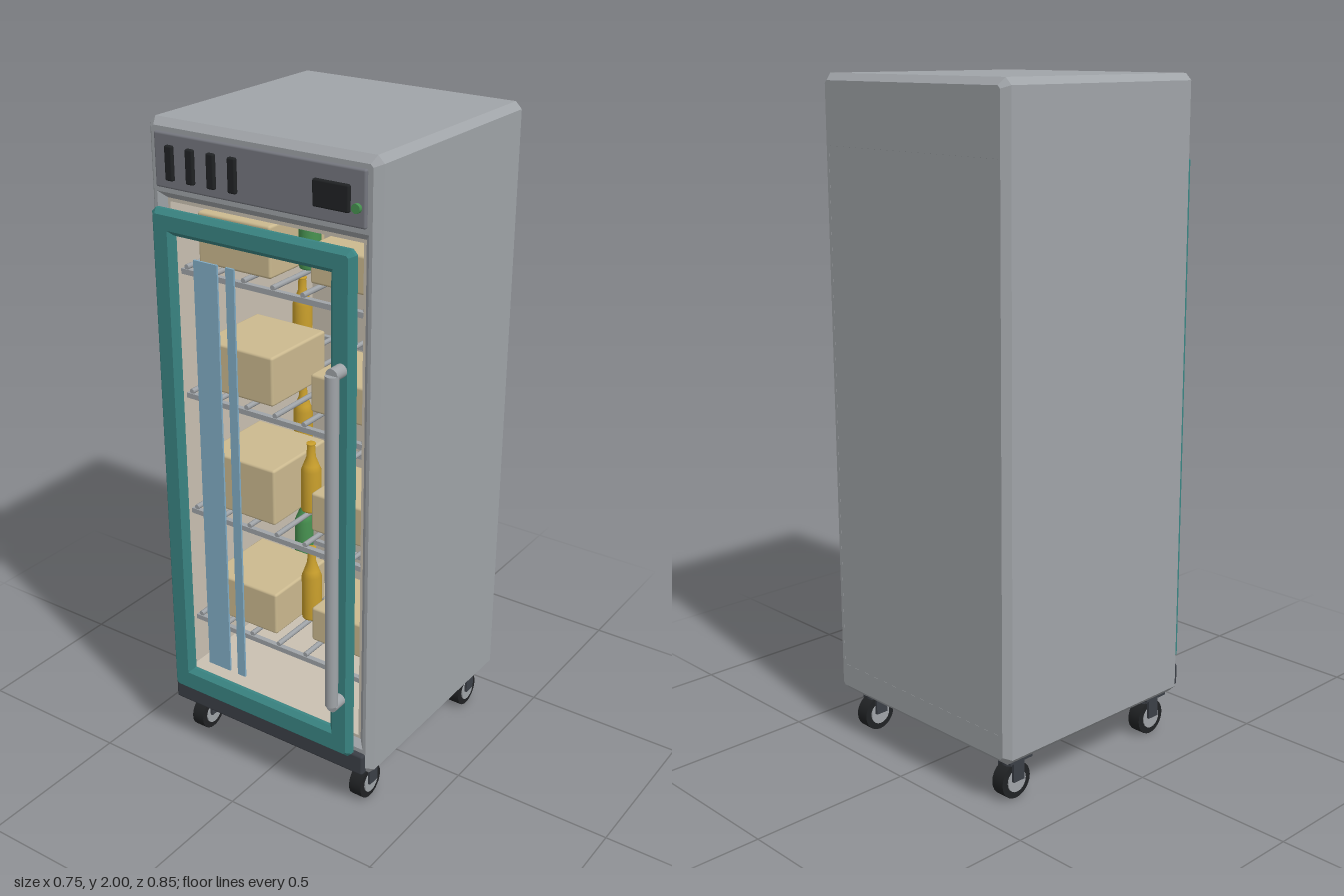
import * as THREE from 'three';
import { RoundedBoxGeometry } from 'three/addons/geometries/RoundedBoxGeometry.js';

const material = (name, color, side = THREE.FrontSide) => {
  const m = new THREE.MeshStandardMaterial({ color, side });
  m.name = name;
  return m;
};

export function createModel() {
  const steel = material('steel', 0xa0a4a8);
  const panelGrey = material('panelGrey', 0x75777f);
  const charcoal = material('charcoal', 0x3b3f46);
  const black = material('black', 0x202224);
  const teal = material('teal', 0x3a8583);
  const liner = material('liner', 0xc9c0b1);
  const card = material('card', 0xcbb98f);
  const amber = material('amber', 0xc99f2c);
  const green = material('green', 0x479150);
  const blue = material('blue', 0x82adc6, THREE.DoubleSide);

  const model = new THREE.Group();
  model.name = 'displayFridge';

  const add = (parent, name, geometry, mat, x = 0, y = 0, z = 0) => {
    const mesh = new THREE.Mesh(geometry, mat);
    mesh.name = name;
    mesh.position.set(x, y, z);
    parent.add(mesh);
    return mesh;
  };
  const group = (name, parent = model) => {
    const g = new THREE.Group();
    g.name = name;
    parent.add(g);
    return g;
  };
  // Box given by its low and high corners
  const block = (parent, name, mat, x0, x1, y0, y1, z0, z1, r = 0) => {
    const s = [x1 - x0, y1 - y0, z1 - z0];
    const geo = r ? new RoundedBoxGeometry(...s, 2, r) : new THREE.BoxGeometry(...s);
    return add(parent, name, geo, mat, (x0 + x1) / 2, (y0 + y1) / 2, (z0 + z1) / 2);
  };
  // Rectangle with slightly cut corners
  const cutRect = (T, w, y0, y1, c) => {
    const p = [[-w + c, y0], [w - c, y0], [w, y0 + c], [w, y1 - c],
      [w - c, y1], [-w + c, y1], [-w, y1 - c], [-w, y0 + c]];
    return new T(p.map(([x, y]) => new THREE.Vector2(x, y)));
  };
  // Chamfered rectangular frame running from z0 to z1
  const frame = (parent, name, mat, outer, inner, z0, z1, bevel) => {
    const shape = cutRect(THREE.Shape, ...outer, bevel * 0.4);
    shape.holes.push(cutRect(THREE.Path, ...inner, 0.001));
    const geo = new THREE.ExtrudeGeometry(shape, {
      depth: z1 - z0 - 2 * bevel, bevelEnabled: true,
      bevelThickness: bevel, bevelSize: bevel, bevelSegments: 1,
    });
    return add(parent, name, geo, mat, 0, 0, z0 + bevel);
  };

  // Cabinet shell and lining
  const cabinet = group('cabinet');
  frame(cabinet, 'shell', steel, [0.355, 0.155, 1.98], [0.345, 0.225, 1.8], -0.427, 0.31, 0.02);
  block(cabinet, 'backPanel', steel, -0.35, 0.35, 0.18, 1.9, -0.4268, -0.39);
  block(cabinet, 'linerBack', liner, -0.325, 0.325, 0.245, 1.78, -0.39, -0.375);
  block(cabinet, 'linerFloor', liner, -0.325, 0.325, 0.245, 0.255, -0.38, 0.29);
  block(cabinet, 'linerCeiling', liner, -0.325, 0.325, 1.77, 1.78, -0.38, 0.29);
  for (const s of [-1, 1]) {
    add(cabinet, 'linerSide', new THREE.BoxGeometry(0.008, 1.535, 0.67), liner, s * 0.321, 1.0125, -0.045);
  }
  block(cabinet, 'kickPlate', charcoal, -0.355, 0.355, 0.143, 0.212, 0.3, 0.327, 0.008);

  // Control panel with vents, display and lamp
  const controls = group('controlPanel');
  block(controls, 'panel', panelGrey, -0.34, 0.34, 1.815, 1.967, 0.3, 0.32, 0.006);
  for (let i = 0; i < 4; i++) {
    const x = -0.284 + i * 0.0705;
    block(controls, 'vent', black, x - 0.013, x + 0.013, 1.84, 1.936, 0.315, 0.331, 0.005);
  }
  block(controls, 'display', black, 0.185, 0.296, 1.852, 1.924, 0.315, 0.331, 0.005);
  const lamp = add(controls, 'lamp', new THREE.CylinderGeometry(0.013, 0.013, 0.014, 16), green, 0.317, 1.868, 0.324);
  lamp.rotation.x = Math.PI / 2;

  // Door frame, glass glints and handle
  const door = group('door');
  frame(door, 'doorFrame', teal, [0.318, 0.23, 1.755], [0.272, 0.285, 1.713], 0.325, 0.363, 0.014);
  block(door, 'wideGlint', blue, -0.196, -0.115, 0.345, 1.642, 0.342, 0.348);
  block(door, 'narrowGlint', blue, -0.086, -0.058, 0.345, 1.642, 0.342, 0.348);
  add(door, 'handleBar', new THREE.CylinderGeometry(0.019, 0.019, 1.02, 20), steel, 0.299, 0.935, 0.404);
  for (const y of [0.42, 1.445]) {
    const post = add(door, 'handlePost', new THREE.CylinderGeometry(0.019, 0.019, 0.05, 20), steel, 0.299, y, 0.382);
    post.rotation.x = Math.PI / 2;
  }

  // Bottle turned from one profile, scaled to its height
  const bottleProfile = [[0, 0], [0.03, 0], [0.031, 0.02], [0.031, 0.6], [0.024, 0.68],
    [0.014, 0.8], [0.012, 0.97], [0.014, 0.98], [0.014, 1], [0, 1]];
  const bottle = (parent, mat, x, y, z, h) => {
    const pts = bottleProfile.map(([r, t]) => new THREE.Vector2(r, t * h));
    add(parent, 'bottle', new THREE.LatheGeometry(pts, 20), mat, x, y, z);
  };

  // Shelves: left box height, right box height, then bottles as [material, x, z, height]
  const shelves = [
    [0.425, 0.14, 0.115, [[amber, 0, 0.08, 0.245], [green, -0.245, -0.22, 0.215], [amber, 0.245, -0.22, 0.215]]],
    [0.803, 0.18, 0.125, [[amber, 0, 0.08, 0.22], [amber, -0.245, -0.22, 0.25]]],
    [1.185, 0.15, 0.115, [[amber, -0.245, -0.22, 0.215], [green, 0.245, -0.22, 0.215]]],
    [1.565, 0.15, 0.11, [[green, 0, 0.08, 0.195], [amber, 0.245, -0.22, 0.195]]],
  ];
  for (const [y, leftH, rightH, bottles] of shelves) {
    const shelf = group('shelf');
    const base = y + 0.02;
    for (const z of [-0.34, -0.05, 0.25]) {
      block(shelf, 'shelfRail', steel, -0.317, 0.317, y - 0.012, y + 0.004, z - 0.008, z + 0.008);
    }
    for (let i = -3; i <= 3; i++) {
      const wire = add(shelf, 'shelfWire', new THREE.CylinderGeometry(0.008, 0.008, 0.6, 8), steel, i * 0.1, y + 0.01, -0.045);
      wire.rotation.x = Math.PI / 2;
    }
    block(shelf, 'leftBox', card, -0.275, -0.025, base, base + leftH, -0.03, 0.23, 0.008);
    block(shelf, 'rightBox', card, 0.077, 0.285, base, base + rightH, -0.03, 0.19, 0.008);
    for (const [mat, x, z, h] of bottles) bottle(shelf, mat, x, base, z, h);
  }

  // Casters
  for (const x of [-0.305, 0.305]) {
    for (const z of [0.235, -0.345]) {
      const caster = group('caster');
      caster.position.set(x, 0, z);
      block(caster, 'mountPlate', charcoal, -0.043, 0.043, 0.122, 0.137, -0.043, 0.043);
      add(caster, 'swivel', new THREE.CylinderGeometry(0.028, 0.028, 0.022, 16), charcoal, 0, 0.113, 0);
      const wheel = add(caster, 'tyre', new THREE.CylinderGeometry(0.054, 0.054, 0.042, 24), black, 0, 0.054, 0);
      wheel.rotation.z = Math.PI / 2;
      const hub = add(caster, 'hub', new THREE.CylinderGeometry(0.034, 0.034, 0.05, 20), steel, 0, 0.054, 0);
      hub.rotation.z = Math.PI / 2;
      for (const s of [-1, 1]) {
        add(caster, 'fork', new THREE.BoxGeometry(0.008, 0.062, 0.04), charcoal, s * 0.029, 0.088, 0);
      }
      block(caster, 'forkBridge', charcoal, -0.033, 0.033, 0.108, 0.12, -0.02, 0.02);
    }
  }
  return model;
}
